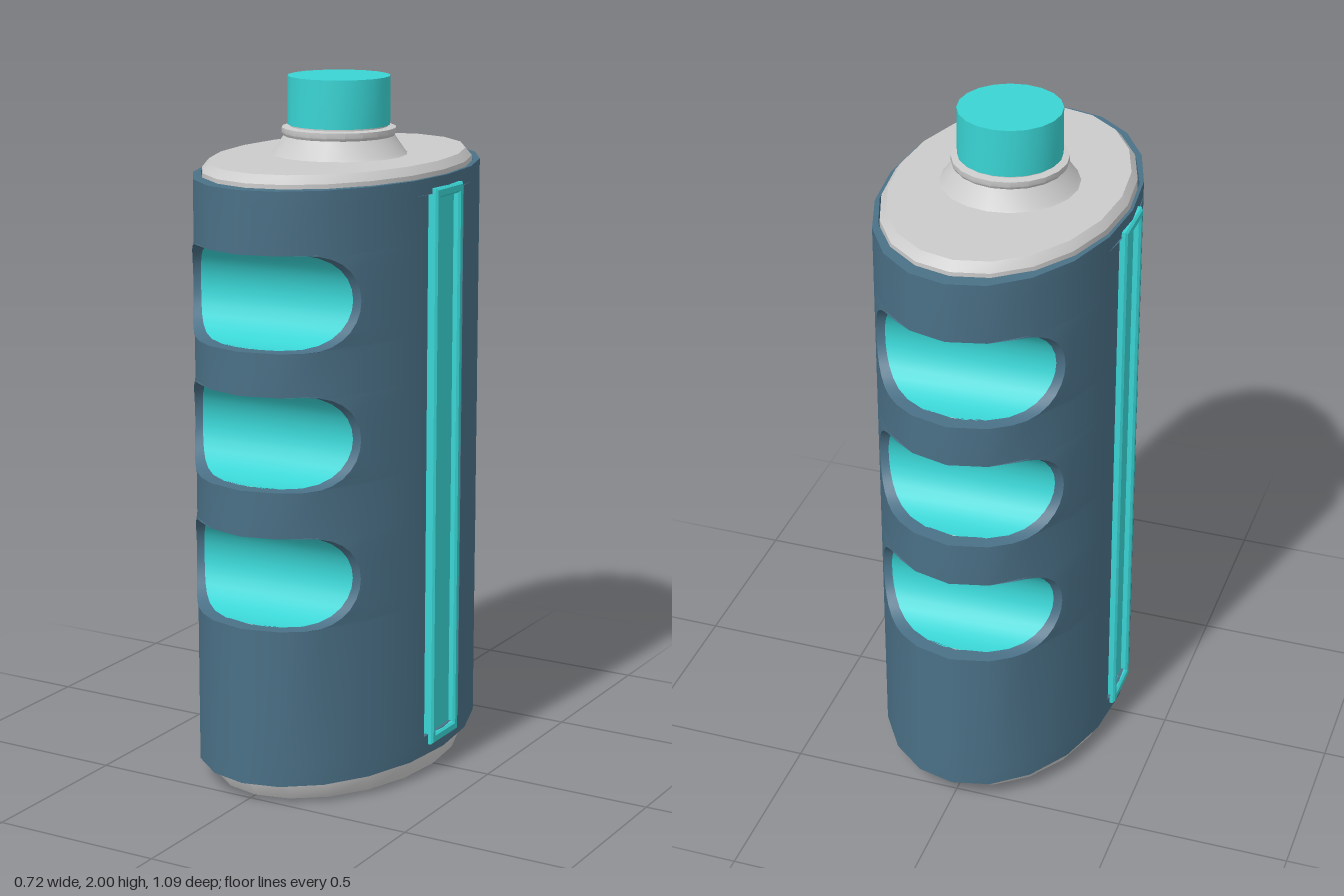
import * as THREE from 'three';
import { toCreasedNormals } from 'three/addons/utils/BufferGeometryUtils.js';

const GREY = 0xcccccc, TEAL = 0x3ad4d4, BLUE = 0x4a7086;
const OUTER = [0.352, 0.545], INNER = [0.343, 0.497], CORE = [0.337, 0.5]; // ellipse radii x, z
const GRIPS = [0.65, 1.048, 1.437], R = 0.1335, AXIS = 0.48;              // finger grooves
const STEP = Math.PI / 10;

function add(group, name, geometry, color, crease = 0.6) {
  const material = new THREE.MeshStandardMaterial({ color, side: THREE.DoubleSide });
  const mesh = new THREE.Mesh(toCreasedNormals(geometry, crease), material);
  mesh.name = name;
  group.add(mesh);
  return mesh;
}

// Skins rings of points from bottom to top; skip(i, j) leaves a quad out
function loft(pos, index, rings, closed, skip = () => false) {
  const n = rings[0].length, base = pos.length / 3;
  rings.forEach(r => r.forEach(p => pos.push(...p)));
  for (let i = 0; i < rings.length - 1; i++) {
    for (let j = 0; j < (closed ? n : n - 1); j++) {
      if (skip(i, j)) continue;
      const a = base + i * n + j, b = base + i * n + (j + 1) % n;
      index.push(a, a + n, b, b, a + n, b + n);
    }
  }
}

function toGeometry(pos, index) {
  const g = new THREE.BufferGeometry();
  g.setAttribute('position', new THREE.Float32BufferAttribute(pos, 3));
  g.setIndex(index);
  return g;
}

// Half-round groove profile as [y, z] around height c
function groove(c, r = R) {
  return Array.from({ length: 15 }, (_, k) => {
    const t = Math.PI * k / 14;
    return [c - r * Math.cos(t), AXIS - r * Math.sin(t)];
  });
}

// Sleeve: four thick quadrants with grip cut-outs and side slots
function sleeveGeometry() {
  const slot = 0.105, full = 1;
  const rows = [[0.06, 0, full, INNER], [0.06, 0, full], [0.12, 0, full], [0.12, slot, full]];
  for (const c of GRIPS) {
    rows.push([c - R, slot, full]);
    groove(c).forEach(([y, z]) => rows.push([y, slot, z]));
    rows.push([c + R, slot, full]);
  }
  rows.push([1.7, slot, full], [1.7, 0, full], [1.745, 0, full], [1.745, 0, full, INNER]);

  const arc = ([a, b], q, [y, lo, hi]) => {
    const t0 = Math.asin(lo / b), t1 = Math.asin(Math.min(1, hi / b));
    const pts = [];
    for (let k = 0; k <= 5; k++) {
      const t = Math.min(t1, Math.max(t0, k * STEP));
      const th = q % 2 ? (q + 1) * Math.PI / 2 - t : q * Math.PI / 2 + t;
      pts.push([a * Math.cos(th), y, b * Math.sin(th)]);
    }
    return q % 2 ? pts.reverse() : pts;
  };
  const pos = [], index = [];
  for (let q = 0; q < 4; q++) {
    const rings = rows.map(r => [...arc(r[3] || OUTER, q, r), ...arc(INNER, q, r).reverse()]);
    const [gripWall, slotWall] = q % 2 ? [11, 5] : [5, 11];
    loft(pos, index, rings, true, (i, j) =>
      (j === gripWall && rows[i][2] === full && rows[i + 1][2] === full) ||
      (j === slotWall && rows[i][1] === 0 && rows[i + 1][1] === 0));
  }
  return toGeometry(pos, index);
}

// Core: chamfered elliptical body, flattened where the grooves run
function coreGeometry() {
  const rows = [[0, 0, 0], [0, 0.32, 0.473], [0.045, ...CORE]];
  for (const c of GRIPS) {
    const r = R + 0.004;
    rows.push([c - r, ...CORE]);
    groove(c, r).forEach(([y, z]) => rows.push([y, ...CORE, z]));
    rows.push([c + r, ...CORE]);
  }
  rows.push([1.757, ...CORE], [1.78, 0.32, 0.475], [1.78, 0, 0]);
  const rings = rows.map(([y, a, b, lim = 1]) => Array.from({ length: 20 }, (_, k) =>
    [a * Math.cos(k * STEP), y, THREE.MathUtils.clamp(b * Math.sin(k * STEP), -lim, lim)]));
  const pos = [], index = [];
  loft(pos, index, rings, true);
  return toGeometry(pos, index);
}

// Groove lining: trough running across the body, ending at the sleeve
function liningGeometry(c, side) {
  const lip = 0.494, [a, b] = INNER;
  const profile = [[c - R, lip], ...groove(c), [c + R, lip]];
  const rings = profile.map(([y, z]) => {
    const xe = a * Math.sqrt(1 - (z / b) ** 2);
    return [xe * side, -xe * side].map(x => [x, y, z * side]);
  });
  const pos = [], index = [];
  loft(pos, index, rings, false);
  return toGeometry(pos, index);
}

function rectangle(target, w, h) {
  target.moveTo(-w, -h);
  target.lineTo(w, -h);
  target.lineTo(w, h);
  target.lineTo(-w, h);
  target.closePath();
  return target;
}

export function createModel() {
  const model = new THREE.Group();
  add(model, 'core', coreGeometry(), GREY);
  add(model, 'sleeve', sleeveGeometry(), BLUE);

  // Finger grooves, front and back
  for (const side of [1, -1]) {
    for (const c of GRIPS) {
      add(model, side > 0 ? 'frontGroove' : 'backGroove', liningGeometry(c, side), TEAL);
    }
  }

  // Neck and cap
  const neck = [[0.197, 1.778], [0.188, 1.788], [0.158, 1.832], [0.163, 1.84], [0.163, 1.855],
    [0.14, 1.858], [0.14, 1.87], [0, 1.87]].map(p => new THREE.Vector2(...p));
  add(model, 'neck', new THREE.LatheGeometry(neck, 20), GREY);
  add(model, 'cap', new THREE.CylinderGeometry(0.146, 0.146, 0.137, 20).translate(0, 1.9315, 0), TEAL);

  // Side strips: raised frame around a recessed floor
  for (const side of [1, -1]) {
    const strip = new THREE.Group();
    strip.name = side > 0 ? 'leftStrip' : 'rightStrip';
    const shape = rectangle(new THREE.Shape(), 0.073, 0.807);
    shape.holes.push(rectangle(new THREE.Path(), 0.061, 0.79));
    const frame = new THREE.ExtrudeGeometry(shape, {
      depth: 0.026, bevelEnabled: true, bevelSize: 0.006, bevelThickness: 0.006, bevelSegments: 1
    });
    add(strip, 'stripFrame', frame.translate(0, 0, 0.328), TEAL, 0.3);
    add(strip, 'stripFloor', new THREE.BoxGeometry(0.13, 1.6, 0.012).translate(0, 0, 0.334), TEAL);
    strip.position.y = 0.902;
    strip.rotation.y = side * Math.PI / 2;
    model.add(strip);
  }
  return model;
}
